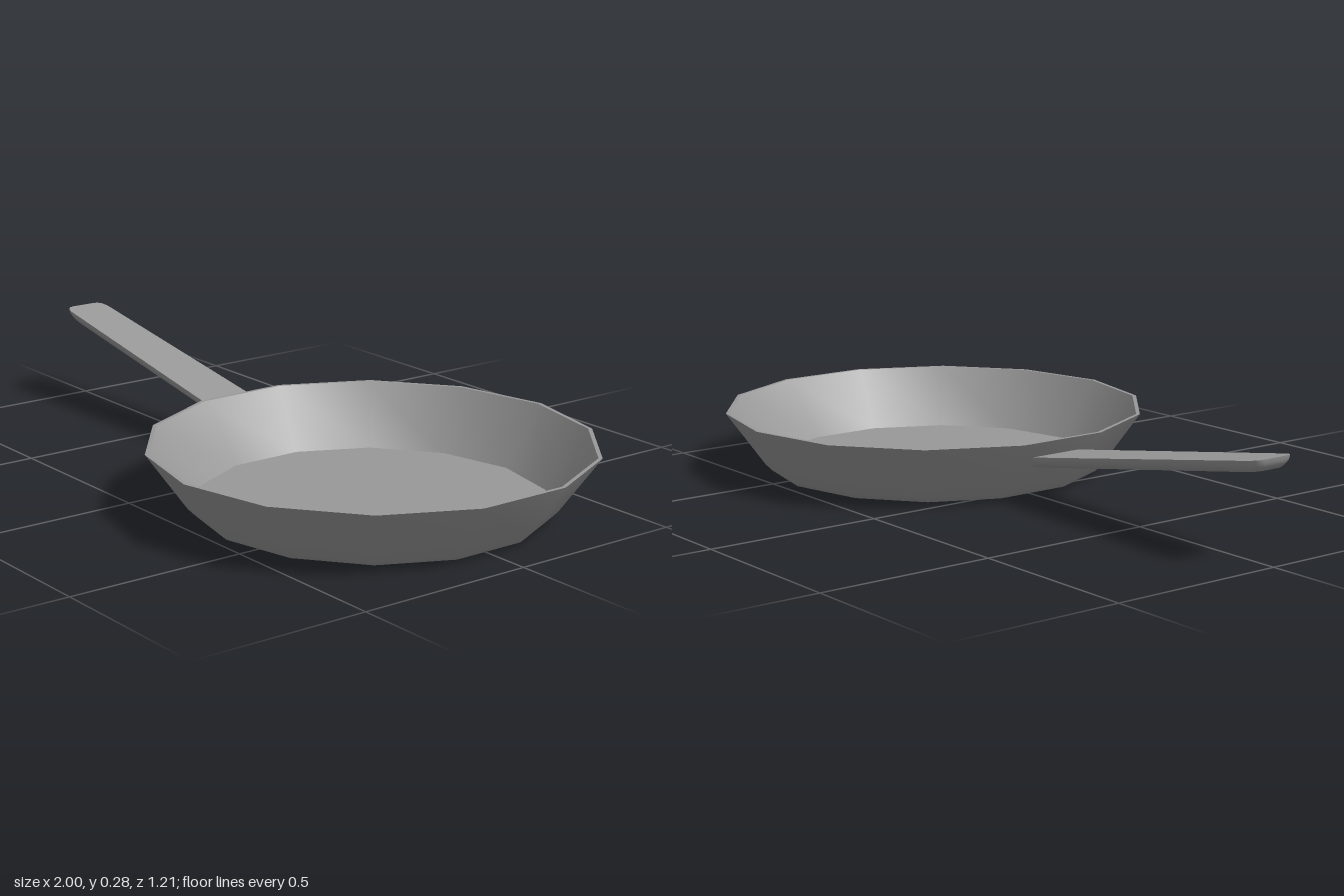
import * as THREE from 'three';
import { toCreasedNormals } from 'three/addons/utils/BufferGeometryUtils.js';

const { degToRad } = THREE.MathUtils;

// Fourteen-sided pan: underside, rounded base, flared wall, thin rim, inner wall, floor
function panGeometry() {
  const profile = [
    [0, 0], [0.452, 0], [0.476, 0.007], [0.495, 0.026],
    [0.605, 0.18], [0.594, 0.18], [0.48, 0.015], [0, 0.015],
  ].map(([r, y]) => new THREE.Vector2(r, y));
  return toCreasedNormals(new THREE.LatheGeometry(profile, 14), degToRad(45));
}

// Flat tapered bar, rounded at the tip and underneath, rising away from the pan
function handleGeometry() {
  const half = [[-0.145, 0.08], [-0.965, 0.066], [-0.987, 0.06], [-0.997, 0.05], [-1, 0.036]];
  const mirrored = half.map(([x, z]) => [x, -z]).reverse();
  const outline = [...half, ...mirrored].map(([x, z]) => new THREE.Vector2(x, z));
  const geometry = new THREE.ExtrudeGeometry(new THREE.Shape(outline), {
    depth: 1, steps: 3, bevelEnabled: false,
  });
  const p = geometry.attributes.position;
  for (let i = 0; i < p.count; i++) {
    const x = p.getX(i), z = p.getY(i), t = p.getZ(i); // t: 0 top, 1 underside
    const y = 0.109 - 0.168 * x - 0.034 * t;
    p.setXYZ(i, x + 0.02 * t * t, y, z * (1 - 0.25 * t * t));
  }
  return toCreasedNormals(geometry, degToRad(62));
}

export function createModel() {
  const model = new THREE.Group();
  model.name = 'fryingPan';
  const material = new THREE.MeshStandardMaterial({ color: 0x999999 });

  const pan = new THREE.Mesh(panGeometry(), material);
  pan.name = 'pan';
  pan.position.x = 0.41;

  const handle = new THREE.Mesh(handleGeometry(), material);
  handle.name = 'handle';

  model.add(pan, handle);
  return model;
}
